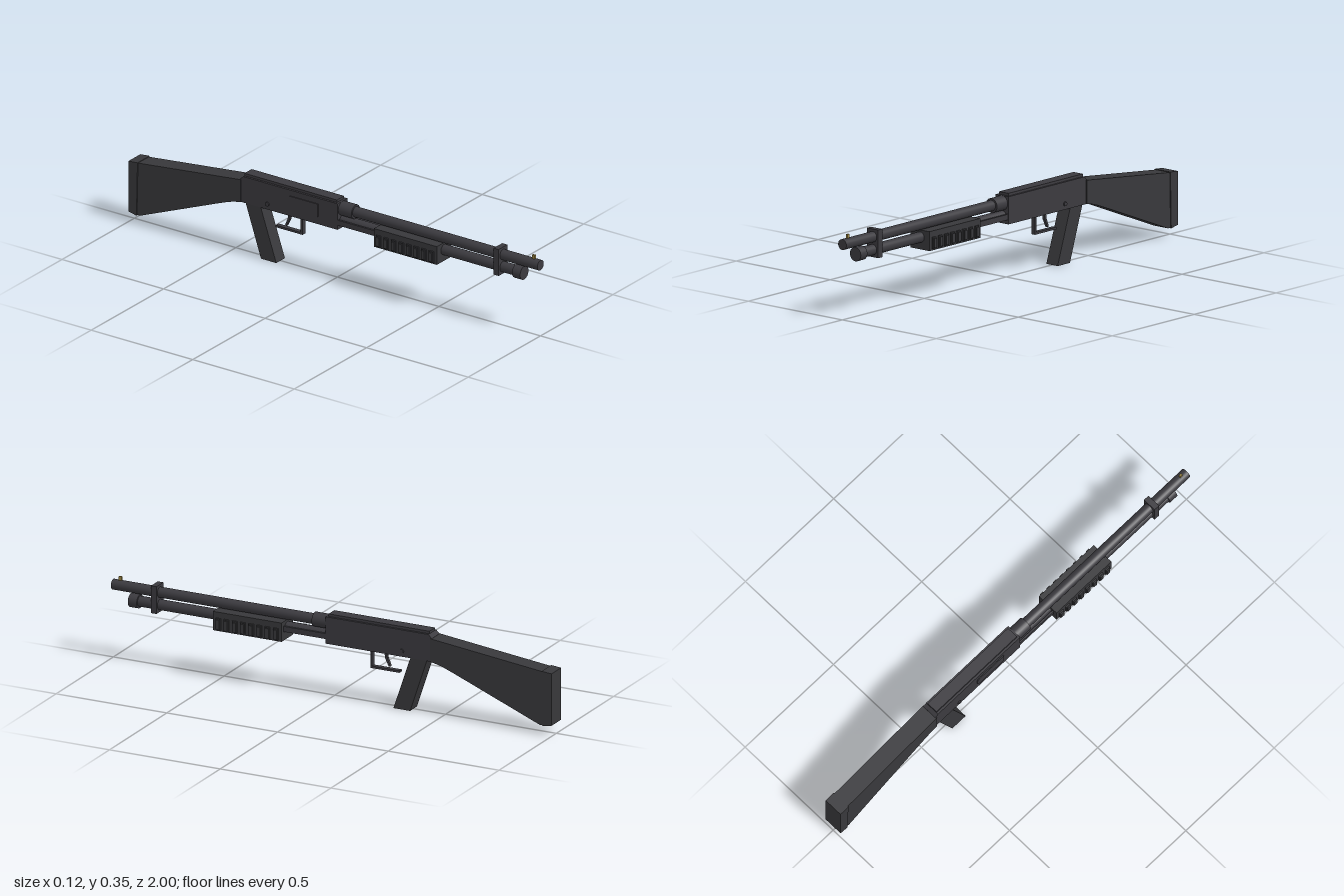
import * as THREE from 'three';

export function createModel() {
  const root = new THREE.Group();
  root.name = 'pumpActionProp';

  const mat = (name, color) => {
    const m = new THREE.MeshStandardMaterial({ color });
    m.name = name;
    return m;
  };
  const metal = mat('gunmetal', 0x3b3a3f);
  const polymer = mat('polymer', 0x38383b);
  const brass = mat('brass', 0x9a8440);

  const add = (name, geometry, material) => {
    const mesh = new THREE.Mesh(geometry, material);
    mesh.name = name;
    root.add(mesh);
    return mesh;
  };
  // Box given by its extents on each axis
  const box = (name, x0, x1, y0, y1, z0, z1, material) => {
    const g = new THREE.BoxGeometry(x1 - x0, y1 - y0, z1 - z0);
    g.translate((x0 + x1) / 2, (y0 + y1) / 2, (z0 + z1) / 2);
    return add(name, g, material);
  };
  // Cylinder lying along z
  const rod = (name, r, y, z0, z1, material, x = 0) => {
    const g = new THREE.CylinderGeometry(r, r, z1 - z0, 24);
    g.rotateX(Math.PI / 2).translate(x, y, (z0 + z1) / 2);
    return add(name, g, material);
  };
  // Side profile of (z, y) points, extruded across x
  const slab = (name, points, halfWidth, material, x = 0) => {
    const shape = new THREE.Shape(points.map(([z, y]) => new THREE.Vector2(z, y)));
    const g = new THREE.ExtrudeGeometry(shape, { depth: halfWidth * 2, bevelEnabled: false });
    g.rotateY(-Math.PI / 2).translate(x + halfWidth, 0, 0);
    return add(name, g, material);
  };

  // Barrel, tube and their fittings
  rod('barrel', 0.022, 0.31, 0, 1, metal);
  rod('barrelCollar', 0.03, 0.31, 0.01, 0.09, metal);
  rod('magazineTube', 0.022, 0.257, 0, 0.9, metal);
  rod('magazineCap', 0.029, 0.256, 0.88, 0.92, metal);
  box('barrelClamp', -0.03, 0.03, 0.226, 0.342, 0.79, 0.815, metal);
  box('frontSight', -0.004, 0.004, 0.328, 0.348, 0.962, 0.974, brass);

  // Sliding fore-end with ribbed sides
  box('foreEnd', -0.05, 0.05, 0.207, 0.287, 0.215, 0.525, polymer);
  for (const s of [-1, 1]) {
    box('actionBar', s * 0.029 - 0.004, s * 0.029 + 0.004, 0.245, 0.268, 0, 0.22, metal);
    for (let i = 0; i < 8; i++) {
      const z = 0.24 + i * 0.0371;
      box('gripRib', s * 0.053 - 0.003, s * 0.053 + 0.003, 0.213, 0.262, z - 0.011, z + 0.011, polymer);
      box('gripRibCrest', s * 0.058 - 0.003, s * 0.058 + 0.003, 0.218, 0.257, z - 0.008, z + 0.008, polymer);
    }
  }

  // Receiver, stepped top and details
  slab('receiver', [[0.025, 0.226], [0.025, 0.34], [-0.44, 0.34], [-0.455, 0.325], [-0.455, 0.226]],
    0.034, metal);
  box('receiverTop', -0.025, 0.025, 0.338, 0.351, -0.44, 0.015, metal);
  const port = new THREE.Shape();
  port.moveTo(-0.07, 0.26);
  port.lineTo(-0.07, 0.315);
  port.lineTo(-0.2, 0.315);
  port.quadraticCurveTo(-0.22, 0.315, -0.22, 0.295);
  port.lineTo(-0.22, 0.28);
  port.quadraticCurveTo(-0.22, 0.26, -0.2, 0.26);
  slab('ejectionPort', port.getPoints(5).map((p) => [p.x, p.y]), 0.002, metal, -0.036);
  const pin = new THREE.CylinderGeometry(0.009, 0.009, 0.078, 16);
  pin.rotateZ(Math.PI / 2).translate(0, 0.25, -0.32);
  add('crossPin', pin, metal);

  // Guard, trigger and raked grip
  box('guardFront', -0.01, 0.01, 0.146, 0.23, -0.174, -0.165, metal);
  box('guardBottom', -0.01, 0.01, 0.146, 0.155, -0.297, -0.165, metal);
  slab('trigger', [[-0.226, 0.23], [-0.236, 0.23], [-0.24, 0.2], [-0.254, 0.165], [-0.246, 0.163], [-0.23, 0.197]],
    0.006, metal);
  slab('grip', [[-0.358, 0.23], [-0.432, 0.23], [-0.355, 0], [-0.28, 0]], 0.03, polymer);

  // Shoulder stock and butt pad
  slab('stock', [[-0.45, 0.325], [-0.96, 0.267], [-0.96, 0.039], [-0.945, 0.039], [-0.56, 0.193],
    [-0.51, 0.212], [-0.48, 0.221], [-0.45, 0.226]], 0.038, polymer);
  slab('buttPad', [[-0.955, 0.27], [-1, 0.266], [-1, 0.045], [-0.96, 0.037]], 0.042, polymer);

  return root;
}
